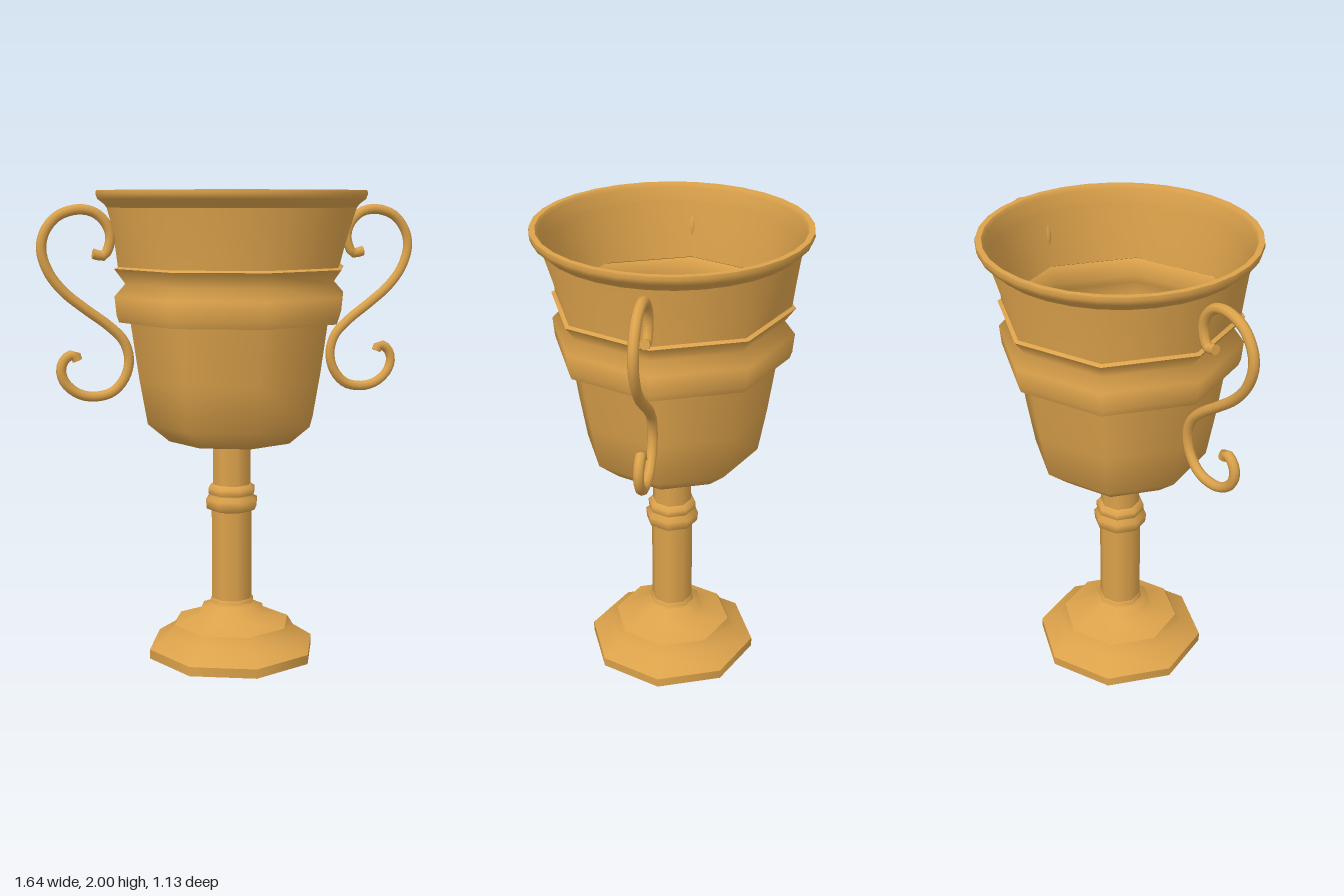
import * as THREE from 'three';

const gold = new THREE.MeshStandardMaterial({ color: 0xdca24b, side: THREE.DoubleSide });
gold.name = 'gold';

const SIDES = 8, ROUND = 32;

// Turned shell from [radius, height] pairs, listed from bottom to top
function turned(name, profile, sides = SIDES) {
  const points = profile.map(([r, y]) => new THREE.Vector2(r, y));
  const mesh = new THREE.Mesh(new THREE.LatheGeometry(points, sides), gold);
  mesh.name = name;
  return mesh;
}

// Upper cup wall: octagonal at the bottom, blending to a circle at the rim
function blendedWall(name, profile) {
  const mesh = turned(name, profile, ROUND);
  const pos = mesh.geometry.attributes.position;
  const y0 = profile[0][1], y1 = profile[profile.length - 1][1];
  const step = (Math.PI * 2) / SIDES;
  for (let i = 0; i < pos.count; i++) {
    const x = pos.getX(i), y = pos.getY(i), z = pos.getZ(i);
    const a = (Math.atan2(x, z) + Math.PI * 2) % step;
    const octagon = Math.cos(step / 2) / Math.cos(a - step / 2);
    const k = THREE.MathUtils.lerp(octagon, 1, (y - y0) / (y1 - y0));
    pos.setXYZ(i, x * k, y, z * k);
  }
  return mesh;
}

// S-shaped scroll handle with closed ends
function scrollHandle(name) {
  const path = [
    [0.59, 1.745], [0.545, 1.737], [0.517, 1.80], [0.53, 1.86], [0.58, 1.91], [0.65, 1.923],
    [0.735, 1.895], [0.787, 1.83], [0.80, 1.76], [0.772, 1.67], [0.71, 1.59], [0.62, 1.517],
    [0.53, 1.45], [0.467, 1.385], [0.445, 1.31], [0.462, 1.235], [0.515, 1.175], [0.59, 1.157],
    [0.66, 1.172], [0.715, 1.22], [0.73, 1.275], [0.71, 1.32], [0.672, 1.335], [0.662, 1.31],
  ].map(([x, y]) => new THREE.Vector3(x, y, 0));
  const curve = new THREE.CatmullRomCurve3(path);
  const handle = new THREE.Group();
  handle.name = name;
  const tube = new THREE.Mesh(new THREE.TubeGeometry(curve, 80, 0.021, 8), gold);
  tube.name = 'scroll';
  handle.add(tube);
  for (const t of [0, 1]) {
    const cap = new THREE.Mesh(new THREE.CircleGeometry(0.021, 8), gold);
    const outward = curve.getTangent(t).multiplyScalar(t ? 1 : -1);
    cap.position.copy(curve.getPoint(t));
    cap.quaternion.setFromUnitVectors(new THREE.Vector3(0, 0, 1), outward);
    cap.name = 'scrollEnd';
    handle.add(cap);
  }
  return handle;
}

export function createModel() {
  const model = new THREE.Group();
  model.name = 'trophyCup';

  // Hollow foot
  model.add(
    turned('footEdge', [[0.37, 0], [0.37, 0.04]]),
    turned('footSlope', [[0.37, 0.04], [0.285, 0.095], [0.257, 0.14]]),
    turned('footTop', [[0.257, 0.14], [0.145, 0.18], [0.14, 0.205], [0.098, 0.222], [0.098, 0.24], [0.09, 0.25]]),
  );

  // Stem with its double collar
  model.add(
    turned('lowerStem', [[0.09, 0.25], [0.09, 0.64]]),
    turned('collar', [[0.09, 0.64], [0.112, 0.65], [0.116, 0.69], [0.092, 0.705], [0.104, 0.715], [0.104, 0.74], [0.084, 0.755]]),
    turned('upperStem', [[0.084, 0.755], [0.084, 0.937]]),
  );

  // Octagonal bowl and its grooved band
  model.add(
    turned('bowl', [[0.084, 0.937], [0.275, 0.952], [0.368, 1.03], [0.402, 1.22], [0.437, 1.46]]),
    turned('bandLedge', [[0.437, 1.46], [0.485, 1.462]]),
    turned('band', [[0.485, 1.462], [0.495, 1.49], [0.503, 1.57], [0.457, 1.62], [0.503, 1.682]]),
    turned('bandTop', [[0.503, 1.682], [0.487, 1.69]]),
  );

  // Upper wall and round rim
  model.add(
    blendedWall('upperWall', [[0.487, 1.69], [0.497, 1.77], [0.508, 1.85], [0.52, 1.93]]),
    turned('rimFlare', [[0.52, 1.93], [0.532, 1.945], [0.558, 1.965], [0.565, 1.985], [0.563, 2]], ROUND),
    turned('rimTop', [[0.563, 2], [0.54, 2]], ROUND),
    turned('rimInside', [[0.54, 2], [0.53, 1.985], [0.52, 1.93]], ROUND),
  );

  // Pair of handles
  const leftHandle = scrollHandle('leftHandle');
  const rightHandle = scrollHandle('rightHandle');
  rightHandle.rotation.y = Math.PI;
  model.add(leftHandle, rightHandle);
  return model;
}
